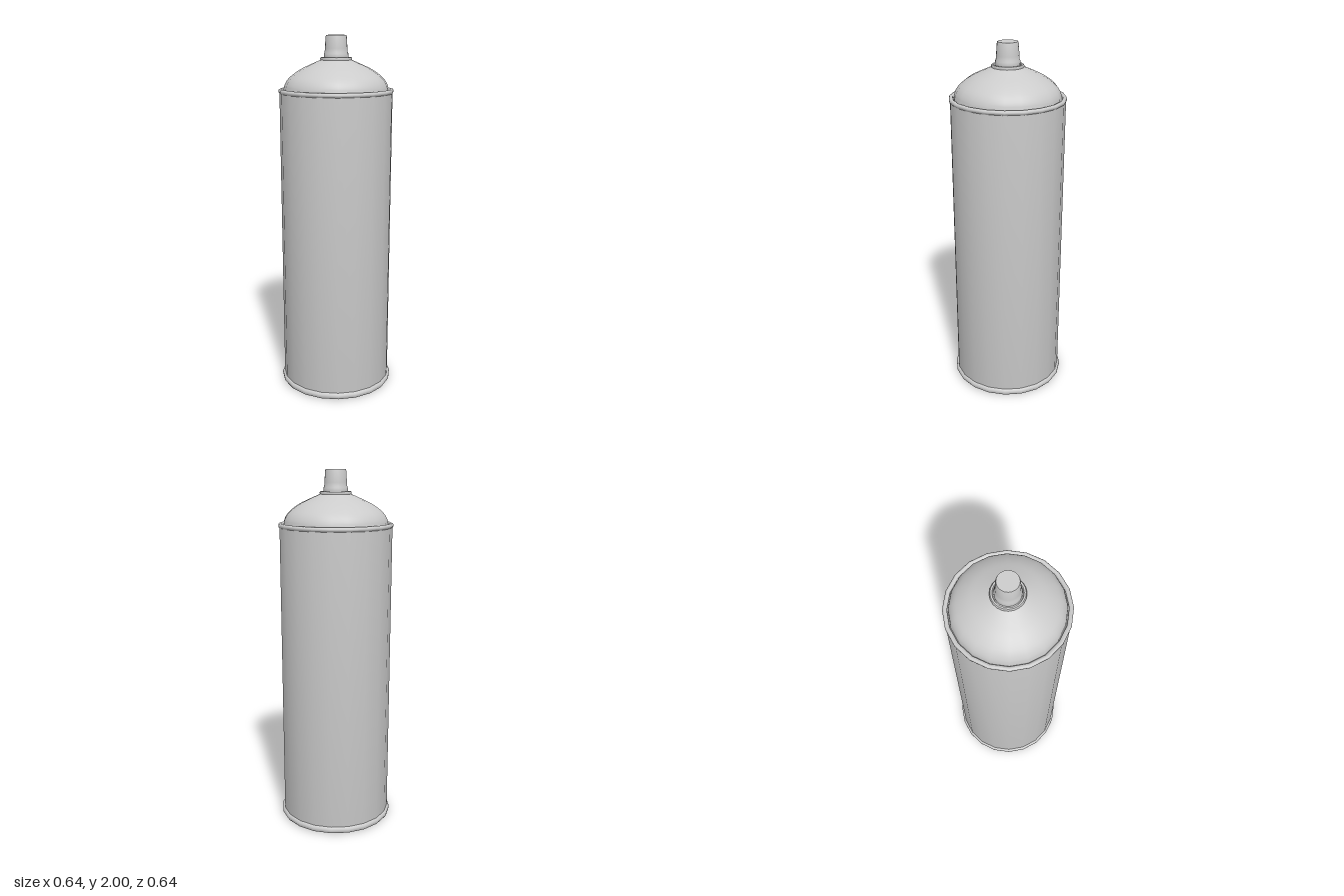
import * as THREE from 'three';
import { toCreasedNormals } from 'three/addons/utils/BufferGeometryUtils.js';

const SIDES = 20;
const material = new THREE.MeshStandardMaterial({ color: 0xcccccc });

// Revolve a [radius, height] profile, listed from bottom to top
function turned(name, profile) {
  const points = profile.map(([r, y]) => new THREE.Vector2(r, y));
  const geometry = toCreasedNormals(new THREE.LatheGeometry(points, SIDES), 0.75);
  const mesh = new THREE.Mesh(geometry, material);
  mesh.name = name;
  return mesh;
}

// Rounded ring bead: half-width w, half-height h around (r, y)
function bead(name, r, y, w, h) {
  const profile = [];
  for (let i = 0; i <= 10; i++) {
    const a = -Math.PI / 2 + (i / 10) * Math.PI * 2;
    profile.push([r + w * Math.cos(a), y + h * Math.sin(a)]);
  }
  return turned(name, profile);
}

export function createModel() {
  const can = new THREE.Group();
  can.name = 'sprayCan';

  // Body with closed base
  can.add(turned('body', [[0, 0.006], [0.305, 0.006], [0.31, 0.03], [0.31, 1.7]]));

  // Rolled seams at the bottom and top of the body
  can.add(bead('bottomSeam', 0.305, 0.02, 0.018, 0.02));
  can.add(bead('topSeam', 0.304, 1.703, 0.012, 0.013));

  // Domed shoulder, rising from inside the top seam
  const dome = new THREE.SplineCurve([
    [0.286, 1.72], [0.277, 1.745], [0.253, 1.777], [0.2, 1.816], [0.14, 1.845], [0.075, 1.873],
  ].map(([r, y]) => new THREE.Vector2(r, y)));
  can.add(turned('shoulder', [
    [0.3, 1.695], [0.288, 1.695], ...dome.getPoints(14).map((p) => [p.x, p.y]),
  ]));

  // Valve cup flange
  can.add(turned('valveCup', [
    [0.07, 1.866], [0.083, 1.866], [0.087, 1.871], [0.087, 1.878], [0.083, 1.883],
    [0.074, 1.883], [0.071, 1.876], [0.05, 1.876],
  ]));

  // Spray nozzle with a collar
  can.add(turned('nozzle', [
    [0.066, 1.876], [0.067, 1.888], [0.066, 1.902], [0.062, 1.912], [0.061, 1.93],
    [0.057, 1.99], [0.054, 2], [0, 2],
  ]));

  return can;
}
